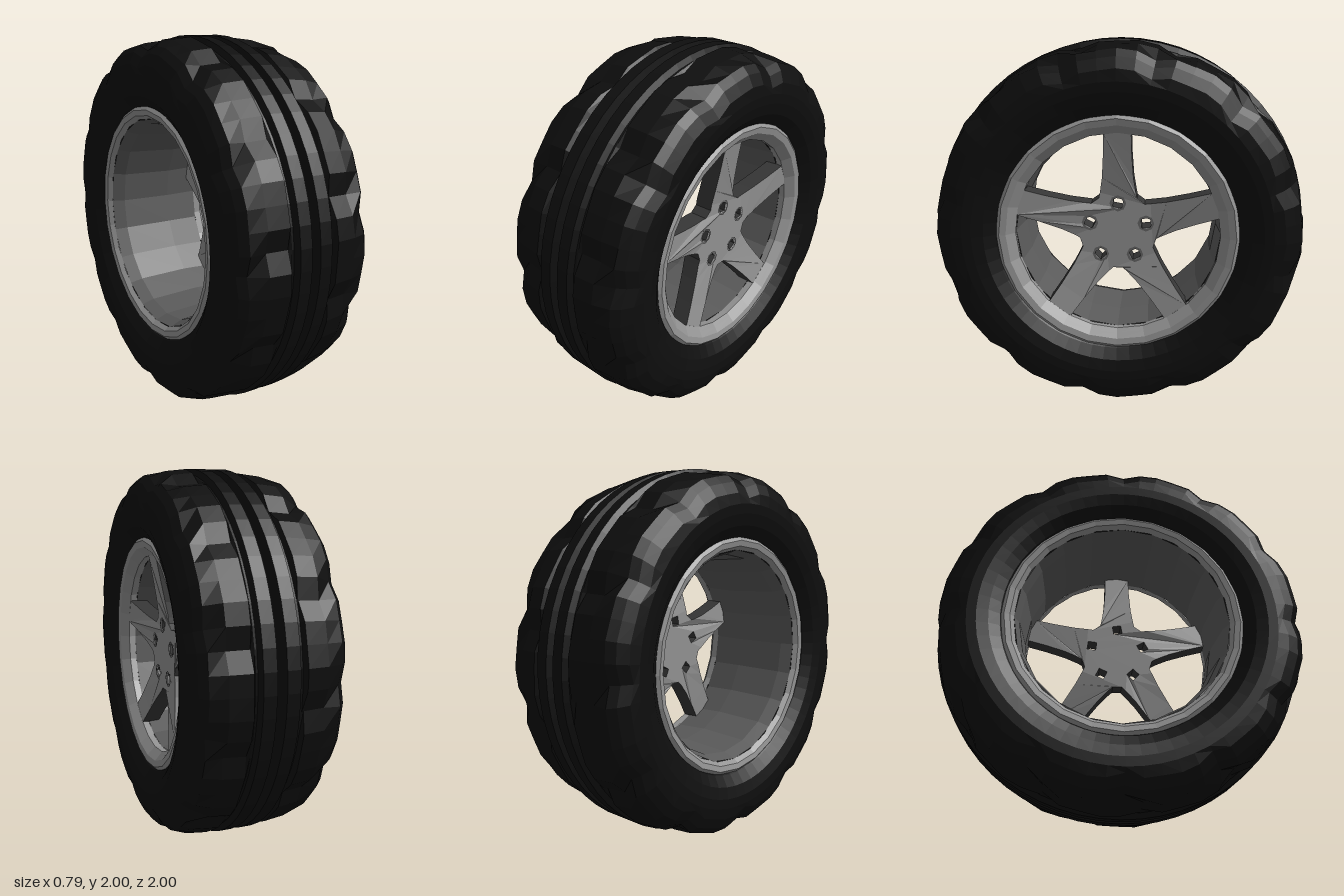
import * as THREE from 'three';

const mat = (name, color) => {
  const m = new THREE.MeshStandardMaterial({ color, side: THREE.DoubleSide });
  m.name = name;
  return m;
};

// Faceted normals
const flat = (g) => {
  const f = g.index ? g.toNonIndexed() : g;
  f.computeVertexNormals();
  return f;
};

// Profile of [radius, axial] points turned around the local z axis
const turned = (profile, segments) =>
  new THREE.LatheGeometry(profile.map(([r, a]) => new THREE.Vector2(r, a)), segments).rotateX(Math.PI / 2);

export function createModel() {
  const rubber = mat('rubber', 0x0e0e0e);
  const alloy = mat('light alloy', 0x929292);
  const barrelGrey = mat('barrel grey', 0x5a5a5a);
  const shadowGrey = mat('dark alloy', 0x363636);
  const wellGrey = mat('well grey', 0x666666);

  const wheel = new THREE.Group();
  wheel.name = 'wheel';
  const add = (name, geometry, material) => {
    const mesh = new THREE.Mesh(geometry, material);
    mesh.name = name;
    wheel.add(mesh);
    return mesh;
  };

  // Tyre: half profile from bead to centre groove, then mirrored
  const half = [
    [0.62, 0.30], [0.645, 0.335], [0.70, 0.375], [0.76, 0.393], [0.81, 0.396], [0.865, 0.388],
    [0.92, 0.36], [0.955, 0.325], [0.978, 0.24], [0.99, 0.13],
    [0.97, 0.115], [0.972, 0.105], [1.0, 0.09], [1.0, 0.024], [0.925, 0.008],
  ];
  const profile = [...half.map(([r, a]) => [r, -a]), ...half.slice().reverse()];
  const segments = 60;
  const tyre = turned(profile, segments);
  const p = tyre.attributes.position;
  for (let i = 0; i <= segments; i++) {
    for (let j = 0; j < profile.length; j++) {
      const front = j >= half.length;
      const k = front ? profile.length - 1 - j : j;
      if (k < 5 || k > 9) continue;
      // Slanted cuts between the shoulder blocks
      const step = (i + (front ? 2 : 0) + (k > 7 ? 1 : 0)) % 5;
      const s = step === 0 ? 0.968 : step === 2 ? 1.008 : 1;
      const n = i * profile.length + j;
      p.setXY(n, p.getX(n) * s, p.getY(n) * s);
    }
  }
  add('tyre', flat(tyre), rubber);

  // Rim: outer lip, barrel and rear lip
  add('outerLip', flat(turned(
    [[0.55, 0.25], [0.545, 0.29], [0.565, 0.31], [0.59, 0.335], [0.625, 0.342], [0.645, 0.325]], 24)), alloy);
  add('barrel', flat(turned([[0.575, -0.31], [0.55, -0.24], [0.535, 0.05], [0.55, 0.25]], 20)), barrelGrey);
  add('rearLip', flat(turned([[0.645, -0.325], [0.625, -0.342], [0.595, -0.335], [0.575, -0.31]], 24)), alloy);

  // Five-spoke star with lug holes
  const polar = (r, a) => new THREE.Vector2(r * Math.cos(a), r * Math.sin(a));
  const deg = Math.PI / 180;
  const outline = [];
  const spokeAngles = [0, 1, 2, 3, 4].map((i) => (90 + 72 * i) * deg);
  for (const a of spokeAngles) {
    for (const [r, d] of [[0.21, -29], [0.235, -24], [0.31, -15.5], [0.43, -10], [0.55, -7.5],
      [0.55, 7.5], [0.43, 10], [0.31, 15.5], [0.235, 24], [0.21, 29]]) {
      outline.push(polar(r, a + d * deg));
    }
  }
  const star = new THREE.Shape(outline);
  for (const a of spokeAngles) {
    const c = polar(0.158, a);
    star.holes.push(new THREE.Path([3, 2, 1, 0].map((q) => polar(0.036, a + q * 90 * deg + 0.6).add(c))));
  }
  const spokes = new THREE.ExtrudeGeometry(star, { depth: 0.1, bevelEnabled: false });
  const sp = spokes.attributes.position;
  // Spokes rise from the recessed hub towards the lip
  for (let i = 0; i < sp.count; i++) {
    const r = Math.hypot(sp.getX(i), sp.getY(i));
    sp.setZ(i, sp.getZ(i) + 0.13 + 0.06 * Math.max(0, (r - 0.24) / 0.31));
  }
  add('spokes', flat(spokes), [alloy, shadowGrey]);

  // Thin collars around the lug holes
  for (const a of spokeAngles) {
    const c = polar(0.158, a);
    const collar = add('lugCollar', new THREE.RingGeometry(0.032, 0.045, 8), wellGrey);
    collar.position.set(c.x, c.y, 0.236);
  }

  // Turn the axle onto x, spokes facing +x, and stand on the ground
  wheel.rotation.y = Math.PI / 2;
  wheel.position.y = 1;
  const model = new THREE.Group();
  model.name = 'wheelModel';
  model.add(wheel);
  return model;
}
